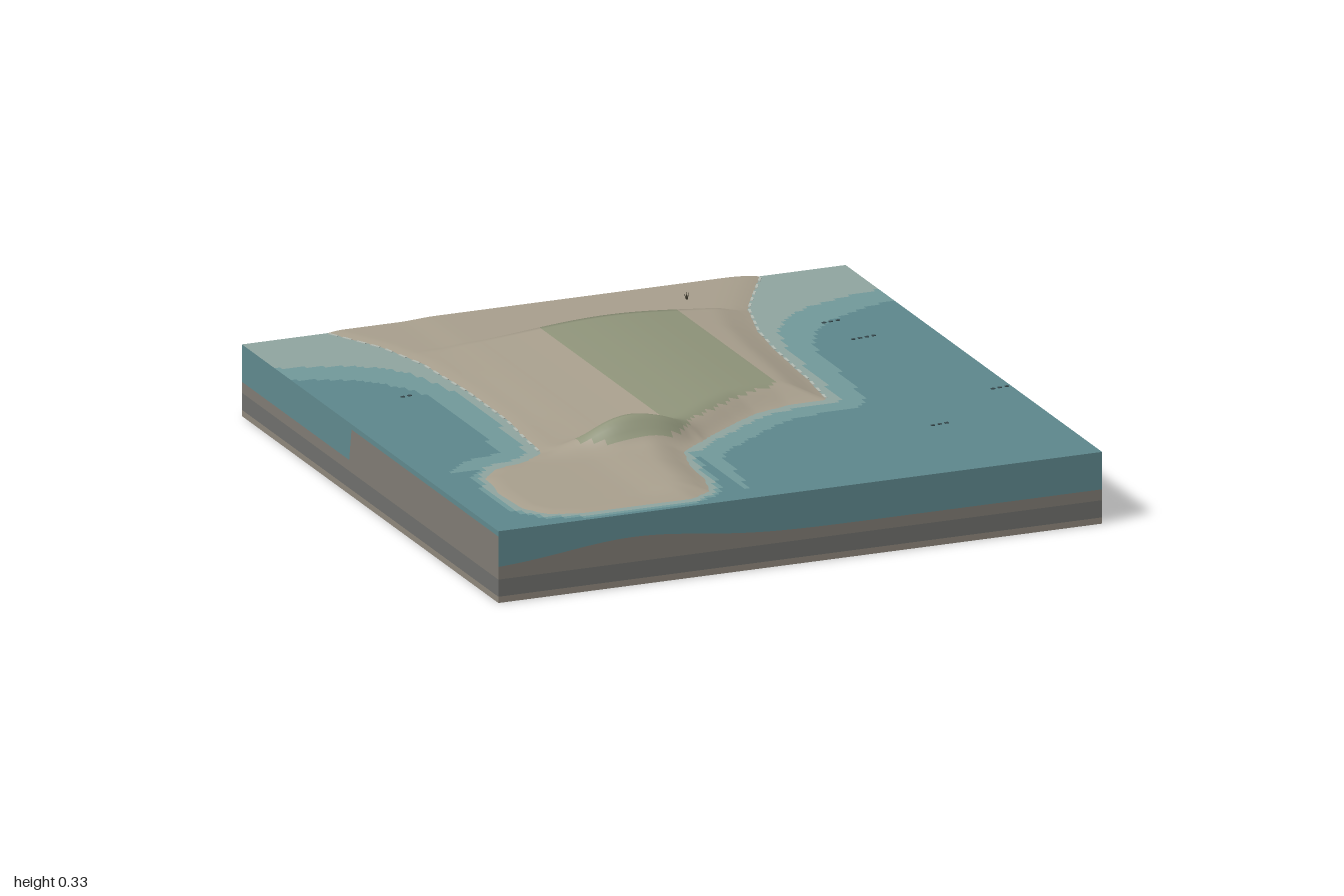
import * as THREE from 'three';

const SEA = 0.23, N = 110;
const smooth = (a, b, v) => THREE.MathUtils.smoothstep(v, a, b);
const bell = (v, centre, width) => Math.exp(-0.5 * ((v - centre) / width) ** 2);

// Shoreline as x, z pairs; runs past the back edge so the land is cut off there
const COAST = [
  [-0.9, -1.3], [-0.72, -1], [-0.62, -0.8], [-0.57, -0.6], [-0.55, -0.3], [-0.55, 0], [-0.57, 0.2],
  [-0.58, 0.34], [-0.66, 0.4], [-0.77, 0.43], [-0.835, 0.5], [-0.855, 0.65], [-0.85, 0.82],
  [-0.8, 0.905], [-0.7, 0.94], [-0.33, 0.94], [-0.25, 0.89], [-0.22, 0.78], [-0.205, 0.62],
  [-0.17, 0.5], [-0.05, 0.4], [0.1, 0.29], [0.18, 0.24], [0.3, 0.205], [0.43, 0.2],
  [0.455, 0], [0.475, -0.3], [0.5, -0.5], [0.56, -0.72], [0.65, -0.88], [0.72, -1], [0.9, -1.3],
];

// Signed distance to the shore, positive on land
function inland(x, z) {
  let best = Infinity, inside = false;
  COAST.forEach(([ax, az], i) => {
    const [bx, bz] = COAST[(i + 1) % COAST.length];
    const dx = bx - ax, dz = bz - az;
    const t = THREE.MathUtils.clamp(((x - ax) * dx + (z - az) * dz) / (dx * dx + dz * dz), 0, 1);
    best = Math.min(best, Math.hypot(x - ax - t * dx, z - az - t * dz));
    if ((az > z) !== (bz > z) && x < ax + ((z - az) / dz) * dx) inside = !inside;
  });
  return inside ? best : -best;
}

// Ground height: beach, headland plateau, dune ridge, low mound and rear dune
function ground(x, z) {
  const d = inland(x, z);
  if (d < 0) return SEA + 0.3 * d;
  const beach = 0.005 * smooth(0, 0.04, d) + 0.005 * smooth(-0.48, -0.36, x) * smooth(0, 0.1, d);
  const headland = 0.037 * smooth(0, 0.06, d) * smooth(0.36, 0.45, z) * smooth(-0.1, -0.24, x);
  const ridge = 0.075 * bell(z, 0.375, 0.036) * bell(x, -0.31, 0.12) * smooth(0, 0.08, d);
  const mound = 0.012 * smooth(0.03, 0.12, z) * smooth(0.34, 0.26, z) * smooth(-0.5, -0.35, x) * smooth(0.1, 0, x);
  const dune = 0.054 * bell(x, 0.08, 0.27) * smooth(-0.7, -0.87, z) * (1 - 0.25 * smooth(-0.88, -1, z));
  return SEA + beach + headland + ridge + mound * smooth(0, 0.1, d) + dune * smooth(0, 0.12, d);
}

function mesh(name, geometry, color) {
  const m = new THREE.Mesh(geometry, new THREE.MeshStandardMaterial({ color }));
  m.name = name;
  return m;
}

// Splits a grid surface into one mesh per colour class
function gridSurface(height, classify, colors) {
  const pos = [], at = (i) => -1 + (2 * i) / N, row = N + 1;
  const faces = Object.fromEntries(Object.keys(colors).map((k) => [k, []]));
  for (let j = 0; j <= N; j++) for (let i = 0; i <= N; i++) pos.push(at(i), height(at(i), at(j)), at(j));
  const all = [];
  for (let j = 0; j < N; j++) {
    for (let i = 0; i < N; i++) {
      const a = j * row + i, quad = [a, a + row, a + row + 1, a, a + row + 1, a + 1];
      all.push(...quad);
      const kind = classify(at(i + 0.5), at(j + 0.5));
      if (kind) faces[kind].push(...quad);
    }
  }
  const base = new THREE.BufferGeometry();
  base.setAttribute('position', new THREE.Float32BufferAttribute(pos, 3));
  base.setIndex(all);
  base.computeVertexNormals();
  return Object.entries(faces).map(([name, index]) => {
    const g = new THREE.BufferGeometry();
    g.setAttribute('position', base.attributes.position);
    g.setAttribute('normal', base.attributes.normal);
    g.setIndex(index);
    return mesh(name, g, colors[name]);
  });
}

// Upright strip on the front plane between two height profiles
function strip(lo, hi) {
  const pos = [], index = [];
  for (let i = 0; i <= N; i++) {
    const s = -1 + (2 * i) / N;
    pos.push(s, lo(s), 1, s, Math.max(lo(s), hi(s)), 1);
    if (i < N) index.push(2 * i, 2 * i + 2, 2 * i + 3, 2 * i, 2 * i + 3, 2 * i + 1);
  }
  const g = new THREE.BufferGeometry();
  g.setAttribute('position', new THREE.Float32BufferAttribute(pos, 3));
  g.setIndex(index);
  g.computeVertexNormals();
  return g;
}

export function createModel() {
  const model = new THREE.Group();
  const cell = 2 / N;

  // Land, with grass on the high ground
  model.add(...gridSurface(ground, (x, z) => {
    if (inland(x, z) < -cell) return null;
    return ground(x, z) > 0.268 ? 'grass' : 'sand';
  }, { sand: 0xa89f8d, grass: 0x8f947a }));

  // Water, paler where it is shallow
  model.add(...gridSurface(() => SEA, (x, z) => {
    const d = -inland(x, z);
    if (d < -cell) return null;
    const narrow = z > 0.42 && x < -0.15 ? 0.55 : 1;
    const depth = (d * Math.pow(smooth(-1, -0.2, z), 1.7)) / narrow;
    return depth < 0.035 ? 'shallowWater' : depth < 0.115 * narrow ? 'midWater' : 'deepWater';
  }, { shallowWater: 0x8fa5a0, midWater: 0x71999a, deepWater: 0x5d878c }));

  // Cut sides: base, dark layer, sediment and water, turned to the four sides
  const rise = (z) => 0.11 + 0.103 * smooth(-0.15, -0.95, z);
  const beds = [
    (s) => 0.11 + 0.045 * bell(s, -0.55, 0.22),
    (s) => rise(-s),
    (s) => Math.max(0.213, ground(-s, -1)),
    (s) => rise(s),
  ];
  const flat = (y) => () => y;
  beds.forEach((bed, i) => {
    const side = new THREE.Group();
    side.name = ['frontSide', 'leftSide', 'backSide', 'rightSide'][i];
    side.rotation.y = (i * Math.PI) / 2;
    side.add(
      mesh('baseLayer', strip(flat(0), flat(0.02)), 0x8f877c),
      mesh('darkLayer', strip(flat(0.02), flat(0.075)), 0x70706d),
      mesh('sedimentLayer', strip(flat(0.075), bed), 0x807c74),
      mesh('waterLayer', strip(bed, flat(SEA)), 0x608a8f),
    );
    model.add(side);
  });

  // Underside
  const bottom = mesh('underside', new THREE.PlaneGeometry(2, 2), 0x4a443e);
  bottom.rotation.x = Math.PI / 2;
  model.add(bottom);

  // Broken foam line along the two long beaches
  const foam = new THREE.Group();
  foam.name = 'foam';
  for (const [first, last] of [[1, 7], [24, 30]]) {
    for (let k = first; k < last; k++) {
      const [ax, az] = COAST[k], [bx, bz] = COAST[k + 1];
      const length = Math.hypot(bx - ax, bz - az), count = Math.round(length / 0.06);
      for (let n = 0; n < count; n++) {
        const t = (n + 0.5) / count;
        const dash = mesh('foamDash', new THREE.BoxGeometry(0.008, 0.002, 0.035), 0xb4bcb4);
        dash.position.set(ax + (bx - ax) * t, SEA + 0.001, az + (bz - az) * t);
        dash.rotation.y = Math.atan2(bx - ax, bz - az);
        foam.add(dash);
      }
    }
  }
  model.add(foam);

  // Small ripple marks on the open water
  for (const [x, z, count] of [[0.74, -0.5, 3], [0.77, -0.315, 4], [-0.74, -0.33, 2], [0.96, 0.3, 3], [0.65, 0.56, 3]]) {
    for (let i = 0; i < count; i++) {
      const mark = mesh('ripple', new THREE.BoxGeometry(0.012, 0.003, 0.008), 0x3c5054);
      mark.position.set(x + (i - (count - 1) / 2) * 0.024, SEA + 0.0015, z - i * 0.003);
      model.add(mark);
    }
  }

  // Little shrub on the rear dune
  const shrub = new THREE.Group();
  shrub.name = 'shrub';
  for (const lean of [-0.45, 0.1, 0.5]) {
    const twig = mesh('twig', new THREE.ConeGeometry(0.003, 0.028, 5).translate(0, 0.012, 0), 0x4b4638);
    twig.rotation.set(lean * 0.6, 0, lean);
    shrub.add(twig);
  }
  shrub.position.set(0.41, ground(0.41, -0.85), -0.85);
  model.add(shrub);
  return model;
}
